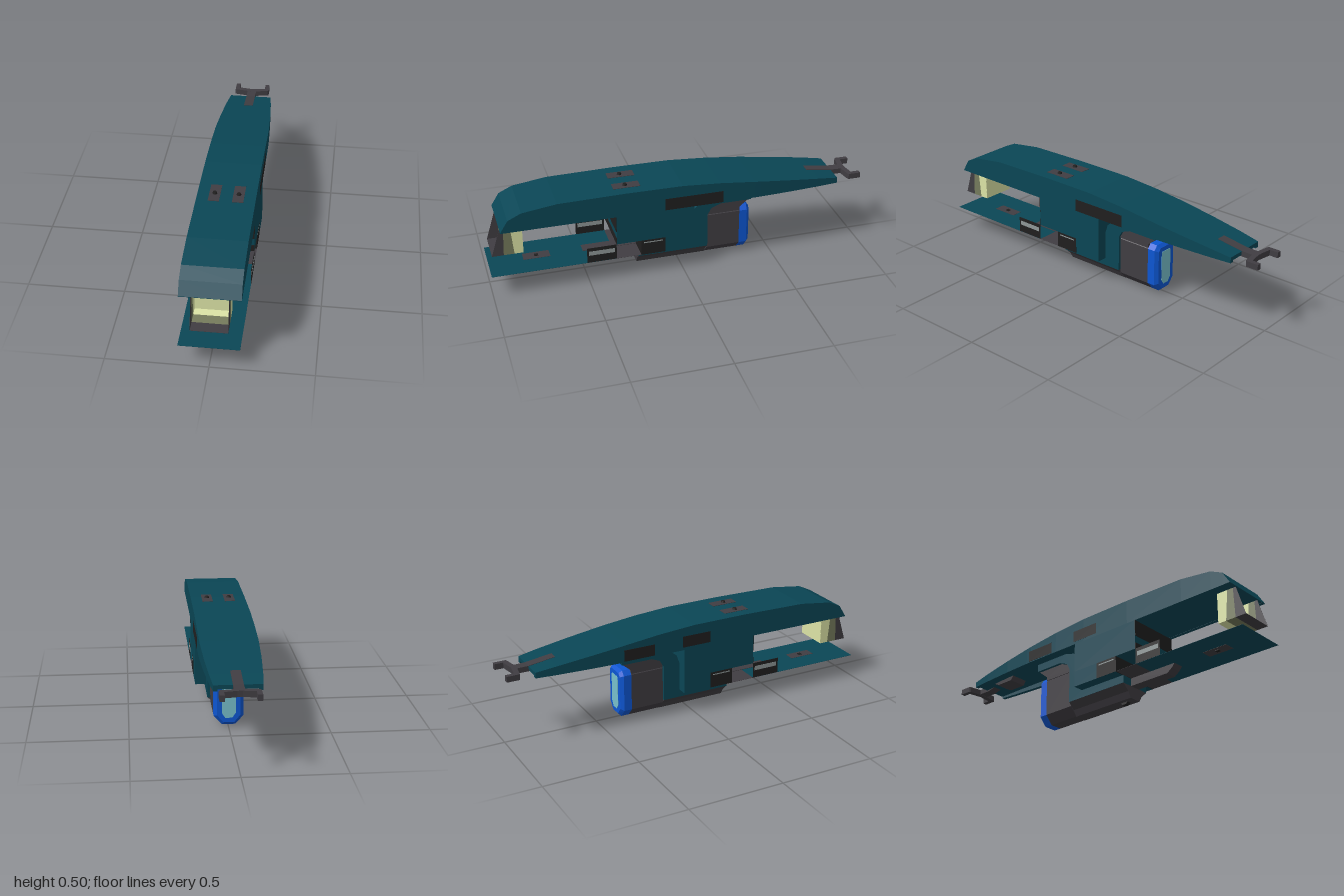
import * as THREE from 'three';

const mat = (name, color) => Object.assign(new THREE.MeshStandardMaterial({ color }), { name });

export function createModel() {
  const teal = mat('teal hull', 0x0a4655);
  const dark = mat('black panel', 0x201f1f);
  const gray = mat('dark gray metal', 0x403d42);
  const silver = mat('silver', 0x8f9898);
  const pale = mat('pale yellow', 0xdce4a6);
  const olive = mat('olive', 0x757b5c);
  const blue = mat('blue', 0x0d56d2);
  const glow = mat('light blue', 0x78c0cc);
  const model = new THREE.Group();

  const add = (name, geometry, material) => {
    const mesh = new THREE.Mesh(geometry, material);
    mesh.name = name;
    model.add(mesh);
    return mesh;
  };
  // box given by its lower and upper limits on each axis
  const box = (name, m, [x0, x1], [y0, y1], [z0, z1]) => {
    const b = add(name, new THREE.BoxGeometry(x1 - x0, y1 - y0, z1 - z0), m);
    b.position.set((x0 + x1) / 2, (y0 + y1) / 2, (z0 + z1) / 2);
    return b;
  };
  // side profile of [z, y] points, extruded across x
  const profile = (name, m, pts, x0, x1) => {
    const g = new THREE.ExtrudeGeometry(new THREE.Shape(pts.map(p => new THREE.Vector2(...p))),
      { depth: x1 - x0, bevelEnabled: false });
    g.rotateY(-Math.PI / 2).translate(x1, 0, 0);
    return add(name, g, m);
  };
  // closed cross-sections [z, [[x, y], ...]] joined from front to back
  const loft = (name, m, rings) => {
    const n = rings[0][1].length, pos = [], idx = [];
    rings.forEach(([z, pts]) => pts.forEach(([x, y]) => pos.push(x, y, z)));
    for (let i = 0; i < rings.length - 1; i++) {
      for (let j = 0; j < n; j++) {
        const a = i * n + j, b = i * n + (j + 1) % n, c = b + n, d = a + n;
        idx.push(a, d, c, a, c, b);
      }
    }
    const cap = (r, flip) => THREE.ShapeUtils
      .triangulateShape(rings[r][1].map(p => new THREE.Vector2(...p)), [])
      .forEach(([a, b, c]) => idx.push(a + r * n, (flip ? c : b) + r * n, (flip ? b : c) + r * n));
    cap(0, false);
    cap(rings.length - 1, true);
    let g = new THREE.BufferGeometry();
    g.setAttribute('position', new THREE.Float32BufferAttribute(pos, 3));
    g.setIndex(idx);
    g = g.toNonIndexed();
    g.computeVertexNormals();
    return add(name, g, m);
  };

  // upper hull: z, half width, top height, underside height (hollow at the tail)
  const stations = [
    [0.94, 0.147, 0.368, 0.366], [0.9, 0.147, 0.432, 0.366], [0.83, 0.147, 0.465, 0.366],
    [0.65, 0.147, 0.489, 0.366], [0.3, 0.147, 0.494, 0.366], [0, 0.147, 0.492, 0.366],
    [-0.2, 0.147, 0.478, 0.366], [-0.39, 0.146, 0.457, 0.366], [-0.42, 0.145, 0.453, 0.395],
    [-0.58, 0.138, 0.433, 0.392], [-0.75, 0.126, 0.411, 0.384], [-0.86, 0.115, 0.395, 0.375],
  ];
  loft('upperHull', teal, stations.map(([z, w, t, u]) => [z, [
    [w, 0.365], [w, t], [-w, t], [-w, 0.365],
    [-w + 0.02, 0.365], [-w + 0.02, u], [w - 0.02, u], [w - 0.02, 0.365]]]));

  // lower body with an open notch on each side, and its front panels
  box('midBody', teal, [-0.147, 0.147], [0.205, 0.366], [-0.06, 0.352]);
  box('lowerBody', teal, [-0.147, 0.147], [0.12, 0.206], [-0.06, 0.222]);
  for (const y of [[0.28, 0.365], [0.205, 0.24]])
    box('frontWallPanel', dark, [-0.147, 0.147], y, [0.352, 0.355]);
  box('notchWall', dark, [-0.147, 0.147], [0.12, 0.205], [0.222, 0.225]);
  box('notchFloor', gray, [-0.147, 0.147], [0.12, 0.121], [0.225, 0.355]);
  box('frontDeck', teal, [-0.147, 0.147], [0.12, 0.121], [0.355, 1]);
  box('deckPad', gray, [-0.03, 0.03], [0.119, 0.122], [0.68, 0.82]);
  box('deckPadKnob', dark, [-0.01, 0.01], [0.116, 0.125], [0.74, 0.76]);

  // side panels
  for (const s of [-1, 1]) {
    const at = (a, b) => s > 0 ? [a, b] : [-b, -a];
    box('sidePanel', dark, at(0.146, 0.1475), [0.121, 0.205], [0.355, 0.51]);
    box('sidePanelStripe', silver, at(0.1455, 0.148), [0.162, 0.186], [0.365, 0.5]);
    box('doorPanel', dark, at(0.146, 0.1475), [0.12, 0.205], [0.095, 0.225]);
    box('doorPanelStripe', silver, at(0.146, 0.148), [0.188, 0.194], [0.11, 0.21]);
  }
  box('hullPanel', dark, [0.145, 0.1475], [0.365, 0.43], [-0.215, 0.095]);
  box('hullPanel', dark, [-0.1475, -0.145], [0.38, 0.44], [-0.07, 0.09]);
  box('hullPanel', dark, [-0.1475, -0.144], [0.37, 0.43], [-0.4, -0.23]);

  // cockpit: open-fronted box with banded walls
  const bands = [
    [gray, [[0.985, 0.205], [0.935, 0.366], [0.918, 0.366], [0.925, 0.205]]],
    [olive, [[0.925, 0.205], [0.918, 0.366], [0.885, 0.366], [0.87, 0.205]]],
    [pale, [[0.87, 0.205], [0.885, 0.366], [0.825, 0.366], [0.825, 0.205]]],
  ];
  for (const [m, pts] of bands) {
    profile('cockpitSide', m, pts, 0.089, 0.09);
    profile('cockpitSide', m, pts, -0.09, -0.089);
    box('cockpitFloor', m, [-0.089, 0.089], [0.205, 0.206], [pts[3][0], pts[0][0]]);
  }
  box('cockpitBack', pale, [-0.0895, 0.0895], [0.2055, 0.366], [0.824, 0.827]);

  // curved duct from the belly up behind the body
  profile('belly', teal, [[0.225, 0.078], [0.225, 0.1195], [-0.06, 0.1195], [-0.06, 0.27], [-0.075, 0.315],
    [-0.12, 0.35], [-0.18, 0.366], [-0.388, 0.366], [-0.388, 0.325], [-0.22, 0.325], [-0.17, 0.305],
    [-0.15, 0.27], [-0.15, 0.078]], -0.09, 0.09);
  profile('ductLining', gray, [[-0.15, 0.27], [-0.17, 0.305], [-0.22, 0.325], [-0.385, 0.325],
    [-0.33, 0.28], [-0.33, 0.26], [-0.15, 0.26]], -0.075, 0.075);

  // keel and nose probe
  const keel = [[0.034, 0.012], [0.052, 0.044], [0.09, 0.079], [-0.09, 0.079], [-0.052, 0.044], [-0.034, 0.012]];
  loft('keel', gray, [[0.225, keel], [-0.15, keel]]);
  profile('noseProbe', gray, [[0.51, 0.123], [0.49, 0.1], [0.46, 0.078], [0.22, 0.078], [0.22, 0.123]], -0.03, 0.03);
  profile('keelPad', dark, [[0.185, 0.014], [0.175, 0], [0.15, 0], [0.14, 0.014]], -0.012, 0.012);

  // engine with a blue nozzle ring around a glowing panel; i insets the outline
  const outline = i => [[0.034 - i * 0.4, 0.014 + i], [0.075 - i, 0.06 + i * 0.5], [0.075 - i, 0.255 - i * 0.5],
    [0.055 - i * 0.7, 0.28 - i], [-0.055 + i * 0.7, 0.28 - i], [-0.075 + i, 0.255 - i * 0.5],
    [-0.075 + i, 0.06 + i * 0.5], [-0.034 + i * 0.4, 0.014 + i]];
  loft('engine', gray, [[-0.15, outline(0)], [-0.33, outline(0)]]);
  loft('nozzleRing', blue, [[-0.33, outline(0)], [-0.372, outline(0)], [-0.388, outline(0.016)]]);
  loft('nozzleGlow', glow, [[-0.38, outline(0.04)], [-0.39, outline(0.04)]]);

  // roof pads
  for (const x of [-0.06, 0.06]) {
    box('roofPad', gray, [x - 0.028, x + 0.028], [0.49, 0.4955], [0.21, 0.35]);
    const knob = add('roofKnob', new THREE.CylinderGeometry(0.01, 0.013, 0.011, 8), dark);
    knob.position.set(x, 0.499, 0.285);
  }

  // tail fork with its stem let into the hull, and the block below
  profile('tailStem', gray, [[-0.72, 0.4], [-0.72, 0.417], [-0.86, 0.397], [-0.945, 0.395],
    [-0.945, 0.368], [-0.85, 0.368]], -0.025, 0.025);
  const fork = [[0, 0.915], [0.09, 0.93], [0.097, 0.935], [0.097, 1], [0.073, 1], [0.073, 0.955], [0, 0.943]];
  const mirrored = fork.slice(1, -1).reverse().map(([x, z]) => [-x, z]);
  const forkShape = new THREE.Shape([...fork, ...mirrored].map(p => new THREE.Vector2(...p)));
  add('tailFork', new THREE.ExtrudeGeometry(forkShape, { depth: 0.03, bevelEnabled: false })
    .rotateX(-Math.PI / 2), gray).position.y = 0.366;
  profile('tailBlock', gray, [[-0.62, 0.395], [-0.78, 0.386], [-0.74, 0.366], [-0.64, 0.366]], -0.05, 0.05);

  return model;
}
